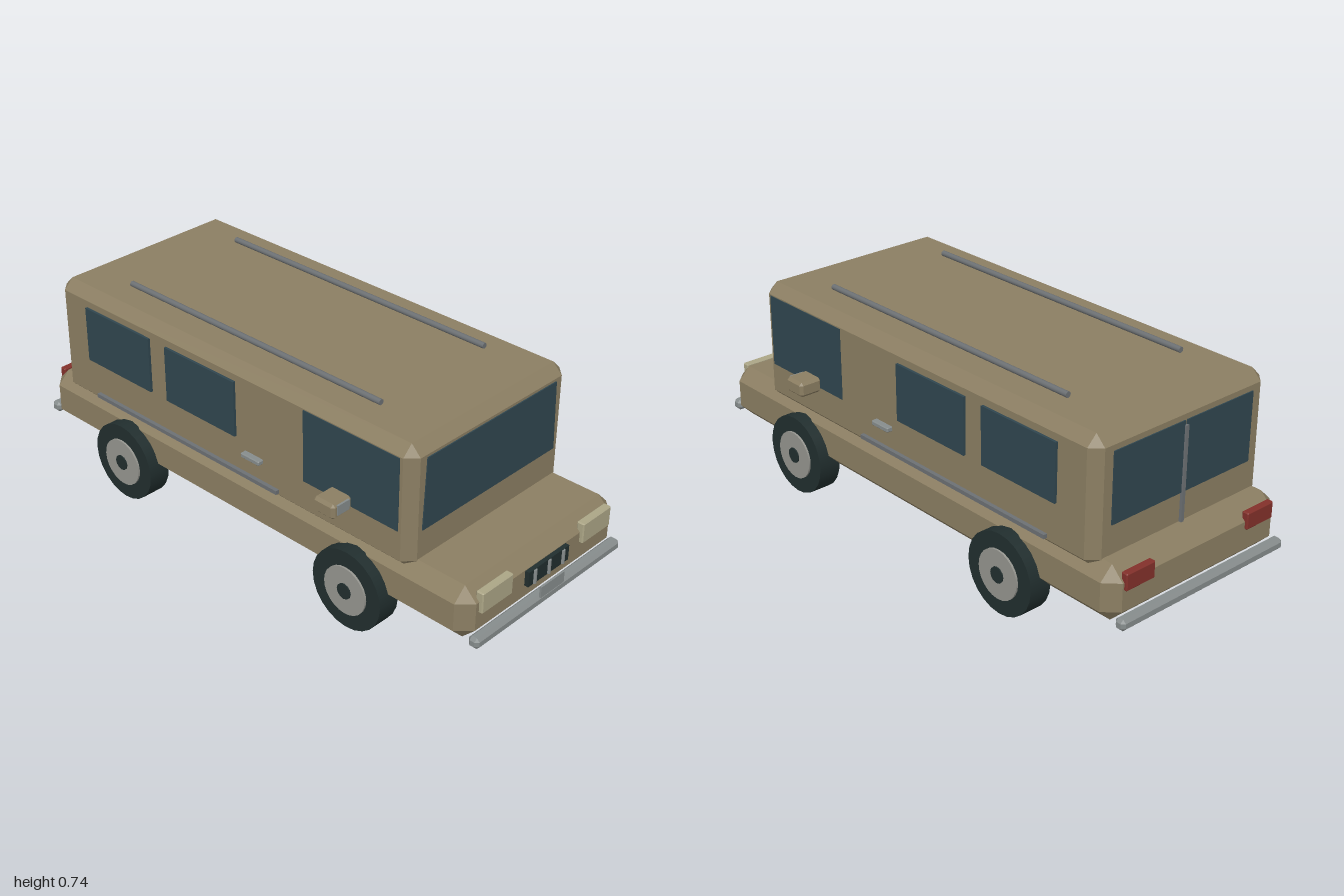
import * as THREE from 'three';
import { ConvexGeometry } from 'three/addons/geometries/ConvexGeometry.js';

const material = (name, color) => {
  const m = new THREE.MeshStandardMaterial({ color });
  m.name = name;
  return m;
};

// Box with every edge and corner cut off flat by c.
function chamferBox(w, h, d, c) {
  const points = [];
  for (const sx of [-1, 1]) for (const sy of [-1, 1]) for (const sz of [-1, 1]) {
    for (let face = 0; face < 3; face++) {
      const inset = [0, 1, 2].map((axis) => (axis === face ? 0 : c));
      points.push(new THREE.Vector3(
        sx * (w / 2 - inset[0]), sy * (h / 2 - inset[1]), sz * (d / 2 - inset[2])));
    }
  }
  return new ConvexGeometry(points);
}

export function createModel() {
  const van = new THREE.Group();
  van.name = 'van';

  const paint = material('tan paint', 0x8b7e62);
  const glass = material('dark blue glass', 0x30464f);
  const rubber = material('black rubber', 0x212e2e);
  const chrome = material('grey metal', 0x868c8c);
  const rail = material('dark grey metal', 0x6c7073);
  const lamp = material('cream lamp', 0xaba586);
  const red = material('red lamp', 0x82302a);
  const hubMetal = material('wheel metal', 0x95958f);

  const add = (name, geometry, mat, x, y, z) => {
    const mesh = new THREE.Mesh(geometry, mat);
    mesh.name = name;
    mesh.position.set(x, y, z);
    van.add(mesh);
    return mesh;
  };
  // Box given by its limits on each axis; c adds a chamfer.
  const block = (name, mat, [x0, x1], [y0, y1], [z0, z1], c = 0) => {
    const size = [x1 - x0, y1 - y0, z1 - z0];
    const geometry = c ? chamferBox(...size, c) : new THREE.BoxGeometry(...size);
    return add(name, geometry, mat, (x0 + x1) / 2, (y0 + y1) / 2, (z0 + z1) / 2);
  };
  // Same box on one side, s = 1 for left and -1 for right.
  const sideBlock = (s, name, mat, [x0, x1], ys, zs, c) =>
    block(name, mat, s > 0 ? [x0, x1] : [-x1, -x0], ys, zs, c);

  // Body shells
  block('lowerBody', paint, [-0.377, 0.377], [0.13, 0.32], [-0.965, 0.965], 0.046);
  block('cabin', paint, [-0.371, 0.371], [0.28, 0.715], [-0.88, 0.737], 0.036);

  // Windscreen, slightly wider at the bottom
  const screen = new THREE.Shape([[-0.318, 0.42], [0.318, 0.42], [0.306, 0.67], [-0.306, 0.67]]
    .map(([x, y]) => new THREE.Vector2(x, y)));
  add('windscreen', new THREE.ExtrudeGeometry(screen, { depth: 0.006, bevelEnabled: false }),
    glass, 0, 0, 0.735);

  // Front: grille, number plate and bumpers
  block('grille', rubber, [-0.1, 0.1], [0.218, 0.272], [0.955, 0.98]);
  for (const x of [-0.07, 0, 0.07]) {
    add('grilleBar', new THREE.CylinderGeometry(0.007, 0.007, 0.05, 10), chrome, x, 0.245, 0.98);
  }
  block('numberPlate', chrome, [-0.058, 0.058], [0.165, 0.205], [0.993, 1]);
  for (const z of [0.979, -0.98]) {
    block('bumper', chrome, [-0.36, 0.36], [0.132, 0.172], [z - 0.02, z + 0.02], 0.011);
  }

  // Rear window divider
  block('rearDivider', rail, [-0.006, 0.006], [0.3, 0.645], [-0.89, -0.876]);

  for (const s of [1, -1]) {
    // Lamps
    sideBlock(s, 'headlight', lamp, [0.174, 0.318], [0.235, 0.31], [0.95, 0.978], 0.004);
    sideBlock(s, 'tailLight', red, [0.205, 0.325], [0.247, 0.307], [-0.975, -0.95], 0.004);

    // Windows
    sideBlock(s, 'frontSideWindow', glass, [0.367, 0.374], [0.42, 0.675], [0.3, 0.69]);
    for (const [z0, z1] of [[-0.325, 0], [-0.727, -0.405]]) {
      sideBlock(s, 'sideWindow', glass, [0.371, 0.38], [0.455, 0.655], [z0, z1]);
    }
    sideBlock(s, 'rearWindow', glass, [0.004, 0.3], [0.42, 0.66], [-0.884, -0.877]);

    // Side trim and door handle
    sideBlock(s, 'sideTrim', rail, [0.368, 0.385], [0.322, 0.336], [-0.69, 0.19]);
    sideBlock(s, 'doorHandle', chrome, [0.368, 0.392], [0.4, 0.417], [0.037, 0.12], 0.003);

    // Door mirror
    sideBlock(s, 'mirror', paint, [0.368, 0.455], [0.406, 0.46], [0.418, 0.505], 0.01);
    sideBlock(s, 'mirrorPlate', chrome, [0.385, 0.437], [0.42, 0.455], [0.501, 0.508]);

    // Roof rail
    add('roofRail', new THREE.CylinderGeometry(0.01, 0.01, 1.135, 12), rail, s * 0.243, 0.73, -0.068)
      .rotation.x = Math.PI / 2;

    // Wheels: tyre, hub disc and centre cap
    for (const z of [0.525, -0.53]) {
      const disc = (name, radius, x0, x1, mat, sides) => {
        add(name, new THREE.CylinderGeometry(radius, radius, x1 - x0, sides), mat,
          s * (x0 + x1) / 2, 0.142, z).rotation.z = Math.PI / 2;
      };
      disc('tyre', 0.142, 0.335, 0.417, rubber, 24);
      disc('hub', 0.086, 0.38, 0.424, hubMetal, 24);
      disc('hubCap', 0.028, 0.4, 0.428, rubber, 12);
    }
  }
  return van;
}
